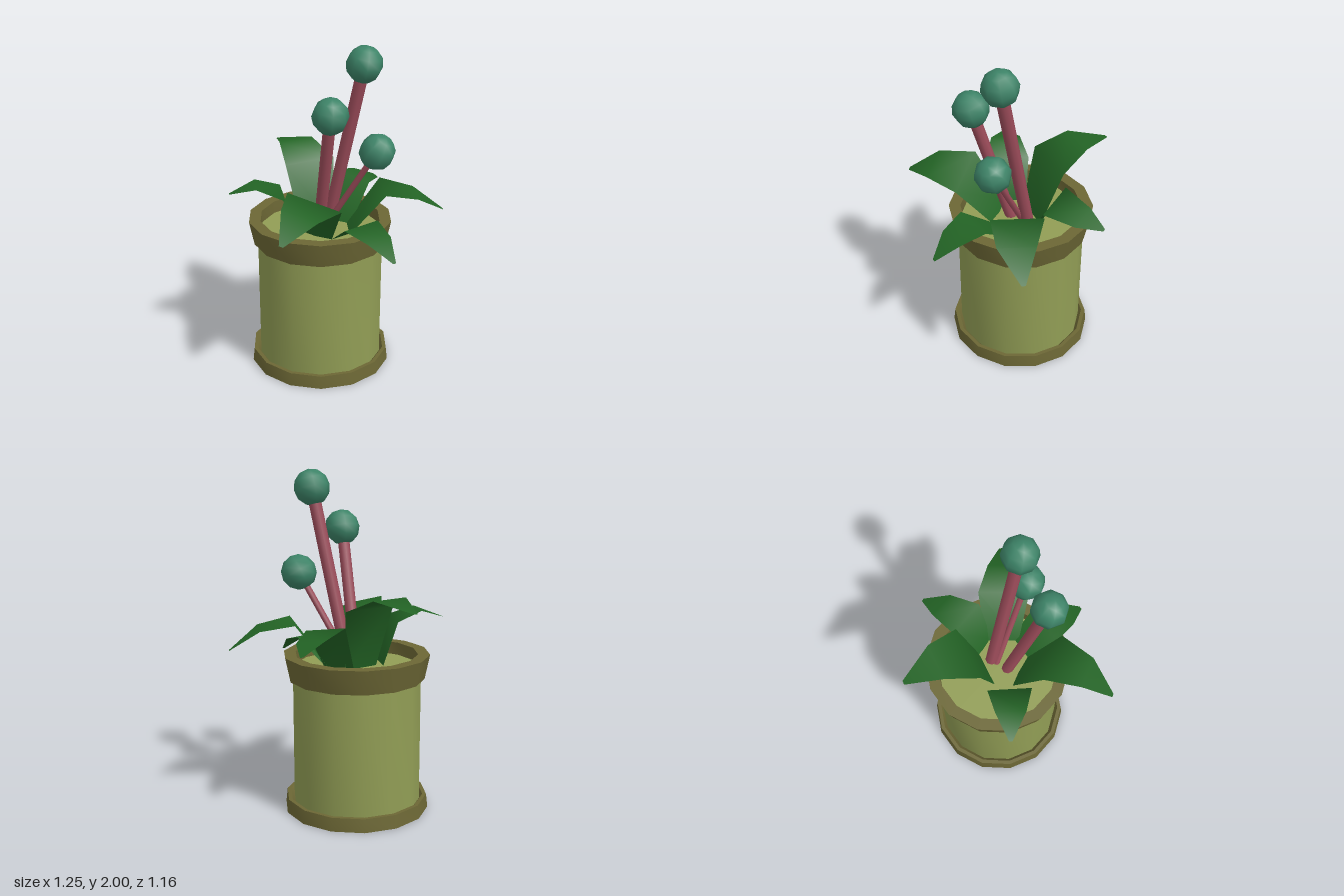
import * as THREE from 'three';
import { toCreasedNormals } from 'three/addons/utils/BufferGeometryUtils.js';

const mat = (name, color, side = THREE.FrontSide) => {
  const m = new THREE.MeshStandardMaterial({ color, side });
  m.name = name;
  return m;
};
const V = (x, y, z) => new THREE.Vector3(x, y, z);

export function createModel() {
  const group = new THREE.Group();
  const pot = mat('pot green', 0x919d55);
  const trim = mat('olive trim', 0x6c6735);
  const stemRed = mat('stem red', 0x9c4c5a);
  const budTeal = mat('bud teal', 0x3d8468);
  const leafGreen = mat('leaf green', 0x236425, THREE.DoubleSide);

  const add = (name, geometry, material, parent = group) => {
    const mesh = new THREE.Mesh(geometry, material);
    mesh.name = name;
    parent.add(mesh);
    return mesh;
  };

  // Fourteen-sided pot, slightly off the centre of the whole plant
  const potGroup = new THREE.Group();
  potGroup.name = 'flowerPot';
  potGroup.position.set(0.04, 0, -0.055);
  group.add(potGroup);
  const turned = (name, points, material) => {
    const profile = points.map(([r, y]) => new THREE.Vector2(r, y));
    add(name, toCreasedNormals(new THREE.LatheGeometry(profile, 14), 0.6), material, potGroup);
  };
  turned('saucer', [[0, 0], [0.432, 0], [0.423, 0.08], [0.4, 0.08], [0.379, 0.05]], trim);
  turned('potBody', [[0.38, 0.03], [0.38, 0.82]], pot);
  turned('potRim', [[0.36, 0.8], [0.402, 0.8], [0.432, 0.945], [0.362, 0.945], [0.36, 0.86]], trim);
  turned('soil', [[0.361, 0.87], [0, 0.87]], pot);

  // Straight stems, each ending in a round bud tilted along the stem
  const stems = [
    { foot: V(0.1, 0.86, -0.045), top: V(0.103, 1.9, 0.208), r: 0.037 },
    { foot: V(-0.01, 0.86, -0.025), top: V(-0.145, 1.653, 0.162), r: 0.035 },
    { foot: V(0.062, 0.86, -0.04), top: V(0.12, 1.405, 0.295), r: 0.019 },
  ];
  for (const { foot, top, r } of stems) {
    const dir = top.clone().sub(foot);
    const length = dir.length();
    const flower = new THREE.Group();
    flower.name = 'flower';
    flower.position.copy(foot);
    flower.quaternion.setFromUnitVectors(V(0, 1, 0), dir.normalize());
    group.add(flower);
    add('stem', new THREE.CylinderGeometry(r, r, length, 8), stemRed, flower).position.y = length / 2;
    add('bud', new THREE.SphereGeometry(0.106, 8, 6), budTeal, flower).position.y = length;
  }

  // Leaf strip: each row is [x, y, z, half width] across the leaf's heading;
  // roll lifts the row's right-hand end
  const leaf = (rows, roll = 0) => {
    const [a, b] = [rows[0], rows[rows.length - 1]];
    const heading = V(b[0] - a[0], 0, b[2] - a[2]).normalize();
    const positions = [];
    const index = [];
    rows.forEach(([x, y, z, w], i) => {
      const lift = roll * w;
      positions.push(x + heading.z * w, y - lift, z - heading.x * w);
      positions.push(x - heading.z * w, y + lift, z + heading.x * w);
      if (i > 0) {
        const k = i * 2;
        index.push(k - 2, k - 1, k, k - 1, k + 1, k);
      }
    });
    const g = new THREE.BufferGeometry();
    g.setAttribute('position', new THREE.Float32BufferAttribute(positions, 3));
    g.setIndex(index);
    g.computeVertexNormals();
    add('leaf', g, leafGreen);
  };
  leaf([[0.08, 0.87, -0.11, 0.11], [0.13, 1.235, -0.2, 0.165], [0.205, 1.32, -0.373, 0.112], [0.275, 1.27, -0.575, 0.012]]);
  leaf([[-0.1, 0.87, -0.13, 0.095], [-0.165, 1.13, -0.18, 0.128], [-0.27, 1.185, -0.29, 0.088], [-0.372, 1.13, -0.407, 0.01]]);
  leaf([[-0.08, 0.87, 0.0, 0.1], [-0.235, 1.165, 0.12, 0.16], [-0.443, 1.165, 0.18, 0.105], [-0.625, 1.06, 0.2, 0.012]], 0.25);
  leaf([[0.02, 0.87, 0.13, 0.085], [-0.03, 1.0, 0.3, 0.125], [-0.065, 0.96, 0.45, 0.086], [-0.092, 0.865, 0.575, 0.01]]);
  leaf([[0.13, 0.87, 0.09, 0.1], [0.255, 1.14, 0.25, 0.152], [0.375, 1.1, 0.405, 0.11], [0.512, 0.98, 0.517, 0.012]]);
  leaf([[0.18, 0.87, -0.03, 0.09], [0.31, 1.13, -0.02, 0.125], [0.495, 1.09, -0.04, 0.086], [0.62, 1.04, -0.075, 0.01]], -0.15);

  return group;
}
